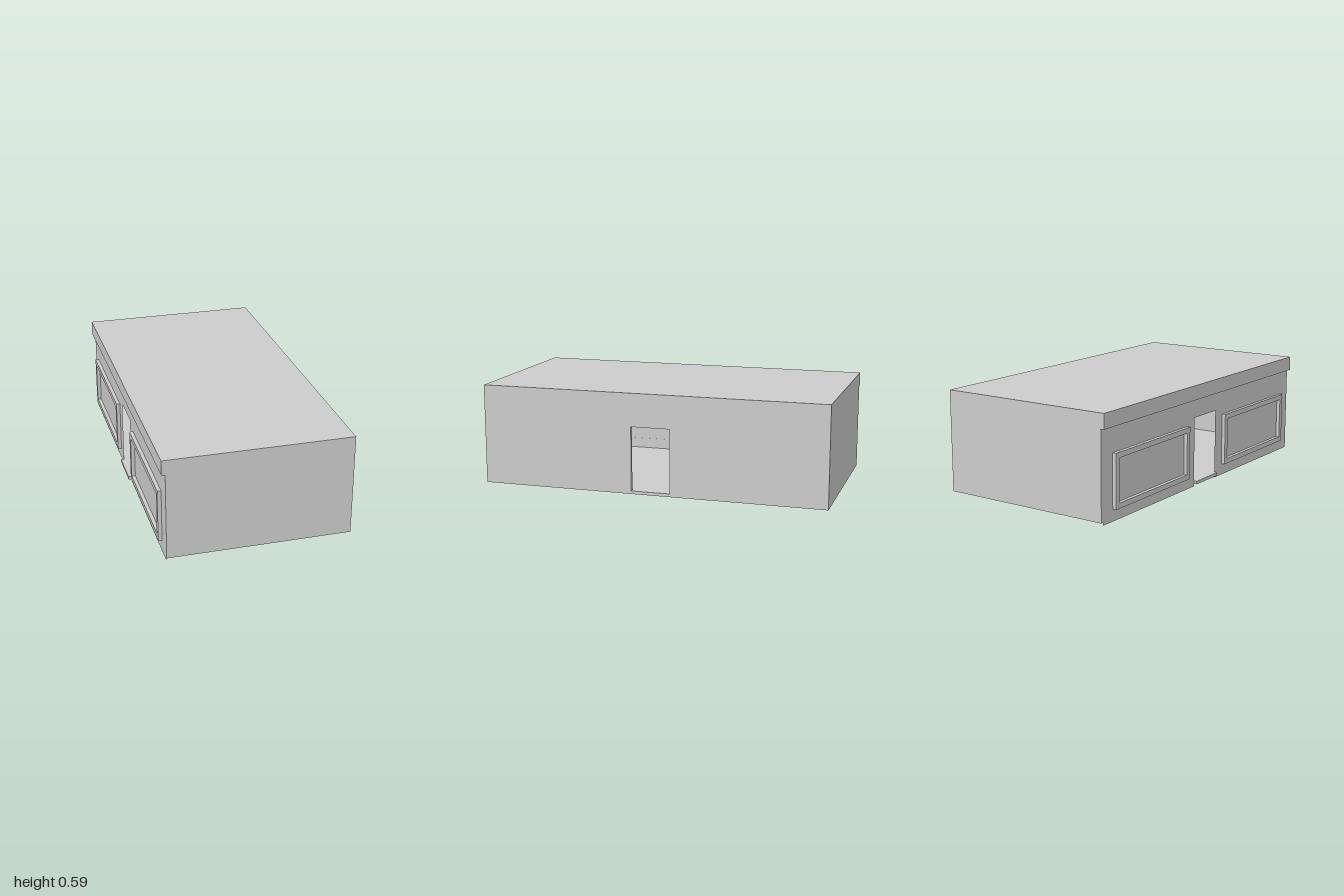
import * as THREE from 'three';

const material = new THREE.MeshStandardMaterial({ color: 0xcccccc });
const thinMaterial = new THREE.MeshStandardMaterial({ color: 0xcccccc, side: THREE.DoubleSide });

// Box given by its lower and upper corners
function box(name, [x0, y0, z0], [x1, y1, z1]) {
  const mesh = new THREE.Mesh(new THREE.BoxGeometry(x1 - x0, y1 - y0, z1 - z0), material);
  mesh.name = name;
  mesh.position.set((x0 + x1) / 2, (y0 + y1) / 2, (z0 + z1) / 2);
  return mesh;
}

function rectangle(Type, u0, v0, u1, v1) {
  const r = new Type();
  r.moveTo(u0, v0).lineTo(u1, v0).lineTo(u1, v1).lineTo(u0, v1).closePath();
  return r;
}

// Wall outline running along z, notched by a doorway that reaches its lower edge
function doorWall(z0, z1, y0, y1, doorHalf, doorTop) {
  const s = new THREE.Shape();
  s.moveTo(z0, y0).lineTo(-doorHalf, y0).lineTo(-doorHalf, doorTop);
  s.lineTo(doorHalf, doorTop).lineTo(doorHalf, y0).lineTo(z1, y0);
  s.lineTo(z1, y1).lineTo(z0, y1).closePath();
  return s;
}

// Turn a shape drawn in (z, y) so that its front faces -x, starting at x
function facingMinusX(name, geometry, x, mat) {
  const mesh = new THREE.Mesh(geometry.rotateY(-Math.PI / 2), mat);
  mesh.name = name;
  mesh.position.x = x;
  return mesh;
}

export function createModel() {
  const model = new THREE.Group();
  const base = 0.015, floorTop = 0.033, ceiling = 0.57, top = 0.59;
  const doorHalf = 0.113, doorTop = 0.4;

  // Hollow shell: slabs, end walls and the header above the shop side
  model.add(
    box('floor', [-0.5, base, -1], [0.52, floorTop, 1]),
    box('roof', [-0.52, ceiling, -1], [0.52, top, 1]),
    box('frontWall', [-0.5, floorTop, 0.98], [0.52, ceiling, 1]),
    box('backWall', [-0.5, floorTop, -1], [0.52, ceiling, -0.98]),
    box('header', [-0.52, 0.507, -1], [-0.5, ceiling, 1]),
    box('doorStep', [-0.52, base, -doorHalf], [-0.5, floorTop, doorHalf])
  );

  // Thick wall with a doorway on the left side
  model.add(facingMinusX('leftWall', new THREE.ExtrudeGeometry(
    doorWall(-0.98, 0.98, floorTop, ceiling, doorHalf, doorTop),
    { depth: 0.02, bevelEnabled: false }), 0.52, material));

  // Thin wall with a doorway on the right side, reaching the ground
  model.add(facingMinusX('rightWall', new THREE.ShapeGeometry(
    doorWall(-0.988, 0.998, 0, 0.52, doorHalf, doorTop)), -0.501, thinMaterial));

  // Raised window frames on either side of the right doorway
  for (const side of [-1, 1]) {
    const frame = rectangle(THREE.Shape, -0.355, 0.065, 0.355, 0.365);
    frame.holes.push(rectangle(THREE.Path, -0.325, 0.095, 0.325, 0.335));
    const mesh = facingMinusX('windowFrame', new THREE.ExtrudeGeometry(frame,
      { depth: 0.022, bevelEnabled: false }), -0.5, material);
    mesh.position.z = side * 0.547;
    model.add(mesh);
  }
  return model;
}
